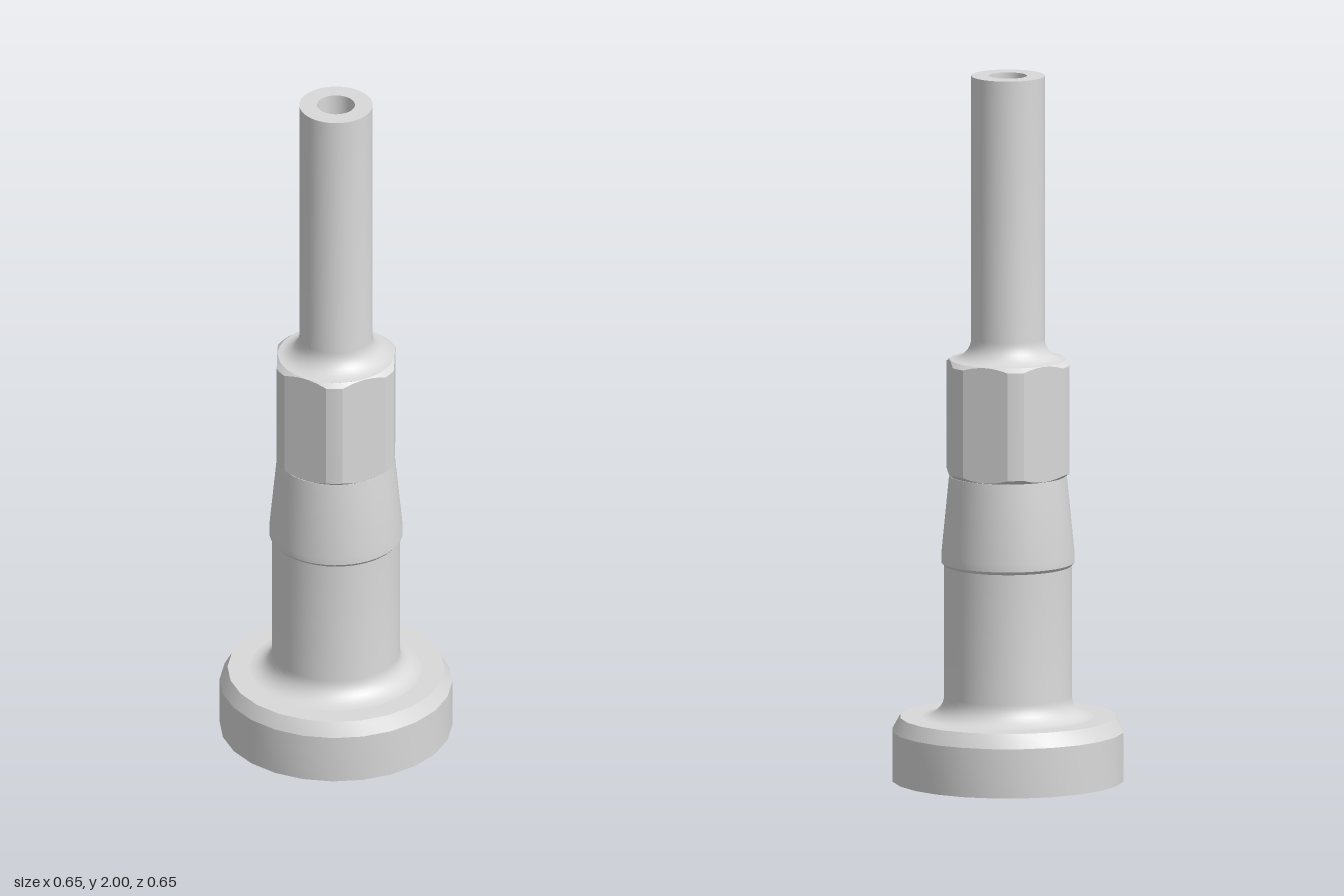
import * as THREE from 'three';
import { toCreasedNormals } from 'three/addons/utils/BufferGeometryUtils.js';

const steel = new THREE.MeshStandardMaterial({ color: 0xd9d9d9 });
steel.name = 'steel grey';

const BORE = 0.053;

// Elliptical arc between two angles, as [radius, height] pairs
function arc(cx, cy, rx, ry, from, to, steps = 8) {
  return Array.from({ length: steps + 1 }, (_, i) => {
    const a = from + ((to - from) * i) / steps;
    return [cx + rx * Math.cos(a), cy + ry * Math.sin(a)];
  });
}

// Enlarged while creasing so that close vertices stay distinct
function crease(geometry, angle) {
  return toCreasedNormals(geometry.scale(100, 100, 100), angle).scale(0.01, 0.01, 0.01);
}

function turned(name, profile, segments = 48) {
  const points = profile.map(([r, y]) => new THREE.Vector2(r, y));
  const mesh = new THREE.Mesh(crease(new THREE.LatheGeometry(points, segments), 0.4), steel);
  mesh.name = name;
  return mesh;
}

// Hexagonal section with rounded corners, chamfered at both ends
function hexNut() {
  const R = 0.178, flat = R * Math.cos(Math.PI / 8), inner = 0.163;
  const bottom = 0.865, top = 1.195, segments = 96;
  const profile = [[0.14, bottom], [inner, bottom], [R, bottom], [R, top], [inner, top]];
  const lathe = new THREE.LatheGeometry(profile.map(p => new THREE.Vector2(...p)), segments);
  const pos = lathe.attributes.position;
  for (let i = 0; i <= segments; i++) {
    const phi = (i / segments) * Math.PI * 2;
    const off = phi - Math.round(phi / (Math.PI / 3)) * (Math.PI / 3);
    const r = Math.min(R, flat / Math.cos(off));
    const drop = (r - inner) * 0.8;
    for (const [row, y] of [[2, bottom + drop], [3, top - drop]]) {
      pos.setXYZ(i * profile.length + row, r * Math.sin(phi), y, r * Math.cos(phi));
    }
  }
  const mesh = new THREE.Mesh(crease(lathe, 0.2), steel);
  mesh.name = 'hexSection';
  return mesh;
}

// Ring with internal spline teeth, open at the underside
function splineRing() {
  const teeth = 44, outer = 0.3, root = 0.258, tip = 0.24;
  const shape = new THREE.Shape();
  const hole = new THREE.Path();
  for (let i = 0; i < 24; i++) {
    const a = (i / 24) * Math.PI * 2;
    shape[i ? 'lineTo' : 'moveTo'](outer * Math.cos(a), outer * Math.sin(a));
  }
  shape.closePath();
  for (let i = 0; i < teeth; i++) {
    [[0, root], [0.35, root], [0.5, tip], [0.85, tip]].forEach(([t, r], k) => {
      const a = -((i + t) / teeth) * Math.PI * 2;
      hole[i + k ? 'lineTo' : 'moveTo'](r * Math.cos(a), r * Math.sin(a));
    });
  }
  hole.closePath();
  shape.holes.push(hole);
  const geometry = new THREE.ExtrudeGeometry(shape, { depth: 0.1, bevelEnabled: false });
  geometry.rotateX(-Math.PI / 2);
  const mesh = new THREE.Mesh(geometry, steel);
  mesh.name = 'splineRing';
  return mesh;
}

export function createModel() {
  const model = new THREE.Group();
  model.name = 'splinedSpindle';
  const H = Math.PI / 2;

  // Chamfered base flange
  model.add(turned('baseFlange', [[0.3, 0], [0.326, 0], [0.326, 0.14], [0.304, 0.18], [0.235, 0.18]], 24));

  // Body with filleted foot and flared collar
  model.add(turned('body', [
    ...arc(0.24, 0.24, 0.061, 0.06, 3 * H, 2 * H),
    [0.179, 0.61], [0.187, 0.619], [0.187, 0.64], [0.165, 0.865], [0.14, 0.865],
  ]));

  model.add(hexNut());

  // Upper tube with filleted root, open bore down its length
  model.add(turned('upperTube', [
    ...arc(0.163, 1.255, 0.06, 0.06, 3 * H, 2 * H),
    [0.103, 2], [BORE, 2], [BORE, 0.2],
  ]));

  // Shallow domed cavity inside the base, kept below the outer fillet
  model.add(turned('baseCavity', [
    [BORE, 0.22],
    ...arc(0, 0.1, 0.24, 0.12, Math.acos(BORE / 0.24), 0, 12),
    [0.265, 0.1],
  ]));

  model.add(splineRing());
  return model;
}
